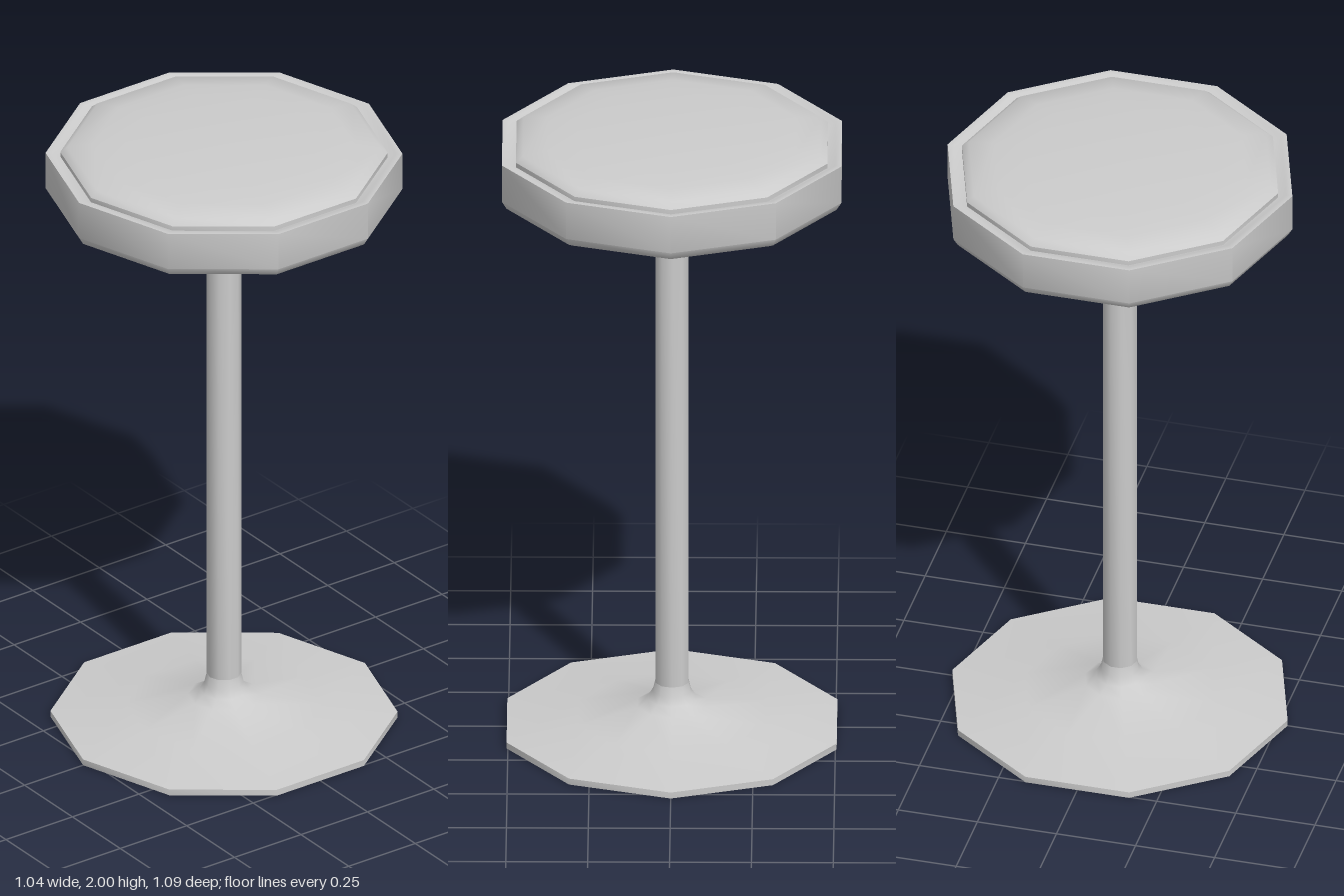
import * as THREE from 'three';
import { toCreasedNormals } from 'three/addons/utils/BufferGeometryUtils.js';

const SIDES = 10;

export function createModel() {
  const group = new THREE.Group();
  const material = new THREE.MeshStandardMaterial({ color: 0xcccccc, side: THREE.DoubleSide });

  // Ten-sided turned part from a [radius, height] profile, corners at +z and -z
  function turned(name, profile) {
    const points = profile.map(([r, y]) => new THREE.Vector2(r, y));
    const geometry = toCreasedNormals(new THREE.LatheGeometry(points, SIDES), 0.75);
    const mesh = new THREE.Mesh(geometry, material);
    mesh.name = name;
    group.add(mesh);
  }

  // Flared foot: a thin shell, hollow underneath, sweeping up into the column
  turned('base', [
    [0.045, 0.14], [0.055, 0.1], [0.095, 0.065], [0.27, 0.03], [0.53, 0],
    [0.53, 0.02], [0.3, 0.046], [0.11, 0.08], [0.075, 0.1], [0.06, 0.125], [0.053, 0.155],
  ]);

  // Straight column, running up inside the collar
  turned('column', [[0, 0.14], [0.053, 0.14], [0.053, 1.79], [0, 1.79]]);

  // Collar, open at the bottom and flaring out under the seat
  turned('collar', [
    [0.074, 1.76], [0.074, 1.61], [0.088, 1.61], [0.088, 1.73],
    [0.094, 1.765], [0.108, 1.785], [0.13, 1.8],
  ]);

  // Seat pan with bevelled lower edge, and a slim rim around the cushion
  turned('seat', [
    [0, 1.8], [0.51, 1.8], [0.53, 1.81], [0.545, 1.835], [0.545, 1.957],
    [0.525, 1.957], [0.505, 1.945], [0.48, 1.945],
  ]);

  // Softly domed cushion
  turned('cushion', [
    [0.5, 1.94], [0.5, 1.96], [0.478, 1.978], [0.4, 1.988], [0.3, 1.997], [0, 2],
  ]);

  return group;
}
